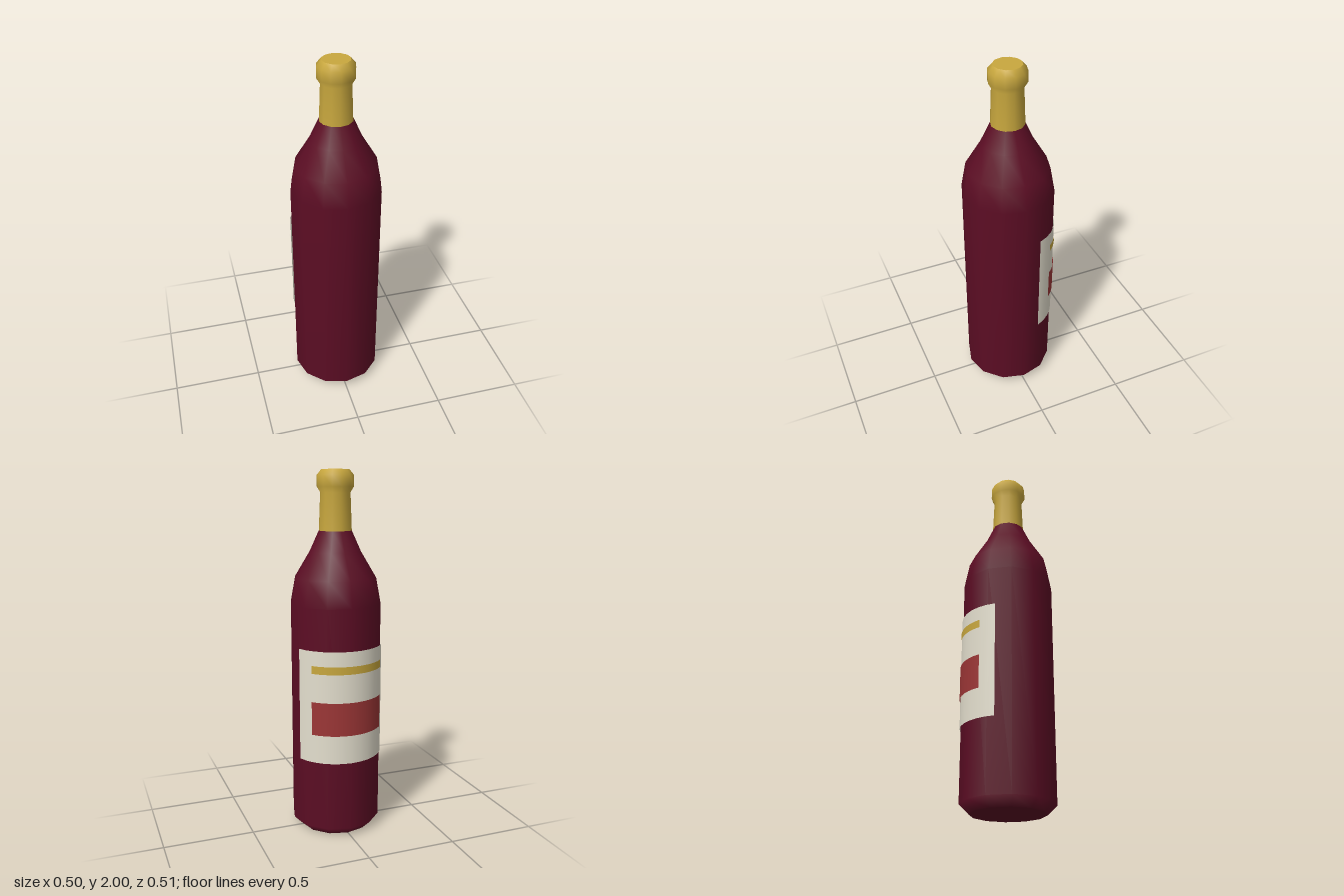
import * as THREE from 'three';

const SIDES = 12;
const AXIS_Z = 0.005; // the label adds a little depth behind the glass

const material = (name, color, side = THREE.FrontSide) =>
  new THREE.MeshStandardMaterial({ name, color, side });

export function createModel() {
  const wine = material('wineGlass', 0x5c0d24);
  const gold = material('goldFoil', 0xc9a83e);
  const cream = material('creamPaper', 0xe4dfce, THREE.DoubleSide);
  const red = material('redPrint', 0x9c3636, THREE.DoubleSide);
  const goldPrint = gold;

  const bottle = new THREE.Group();
  bottle.name = 'bottle';
  bottle.position.z = AXIS_Z;

  const add = (name, geometry, mat) => {
    const mesh = new THREE.Mesh(geometry, mat);
    mesh.name = name;
    bottle.add(mesh);
    return mesh;
  };

  // Turned part from [radius, height] pairs
  const turned = (name, profile, mat) =>
    add(name, new THREE.LatheGeometry(profile.map(([r, y]) => new THREE.Vector2(r, y)), SIDES), mat);

  // Flat end cap whose corners meet the turned sides
  const cap = (name, radius, y, facing, mat) => {
    const mesh = add(name, new THREE.CircleGeometry(radius, SIDES), mat);
    mesh.rotation.x = -facing * Math.PI / 2;
    mesh.position.y = y;
  };

  // Curved sheet wrapped around the back of the body
  const sheet = (name, radius, bottom, top, halfAngle, mat) => {
    const half = THREE.MathUtils.degToRad(halfAngle);
    const geometry = new THREE.CylinderGeometry(
      radius, radius, top - bottom, 12, 1, true, Math.PI - half, half * 2);
    geometry.translate(0, (top + bottom) / 2, 0);
    add(name, geometry, mat);
  };

  // Glass body
  turned('body', [
    [0.2, 0], [0.25, 0.05], [0.25, 1.29], [0.224, 1.43], [0.14, 1.57], [0.09, 1.68],
  ], wine);
  cap('base', 0.2, 0, -1, wine);

  // Foil over the neck and lip
  turned('neckFoil', [
    [0.09, 1.675], [0.082, 1.88], [0.1, 1.91], [0.1, 1.97], [0.075, 2],
  ], gold);
  cap('foilTop', 0.075, 2, 1, gold);

  // Label with its printed bands
  sheet('label', 0.256, 0.44, 1.065, 70, cream);
  sheet('labelRedBand', 0.26, 0.6, 0.785, 50, red);
  sheet('labelGoldStripe', 0.26, 0.942, 0.985, 50, goldPrint);

  const model = new THREE.Group();
  model.name = 'wineBottle';
  model.add(bottle);
  return model;
}
